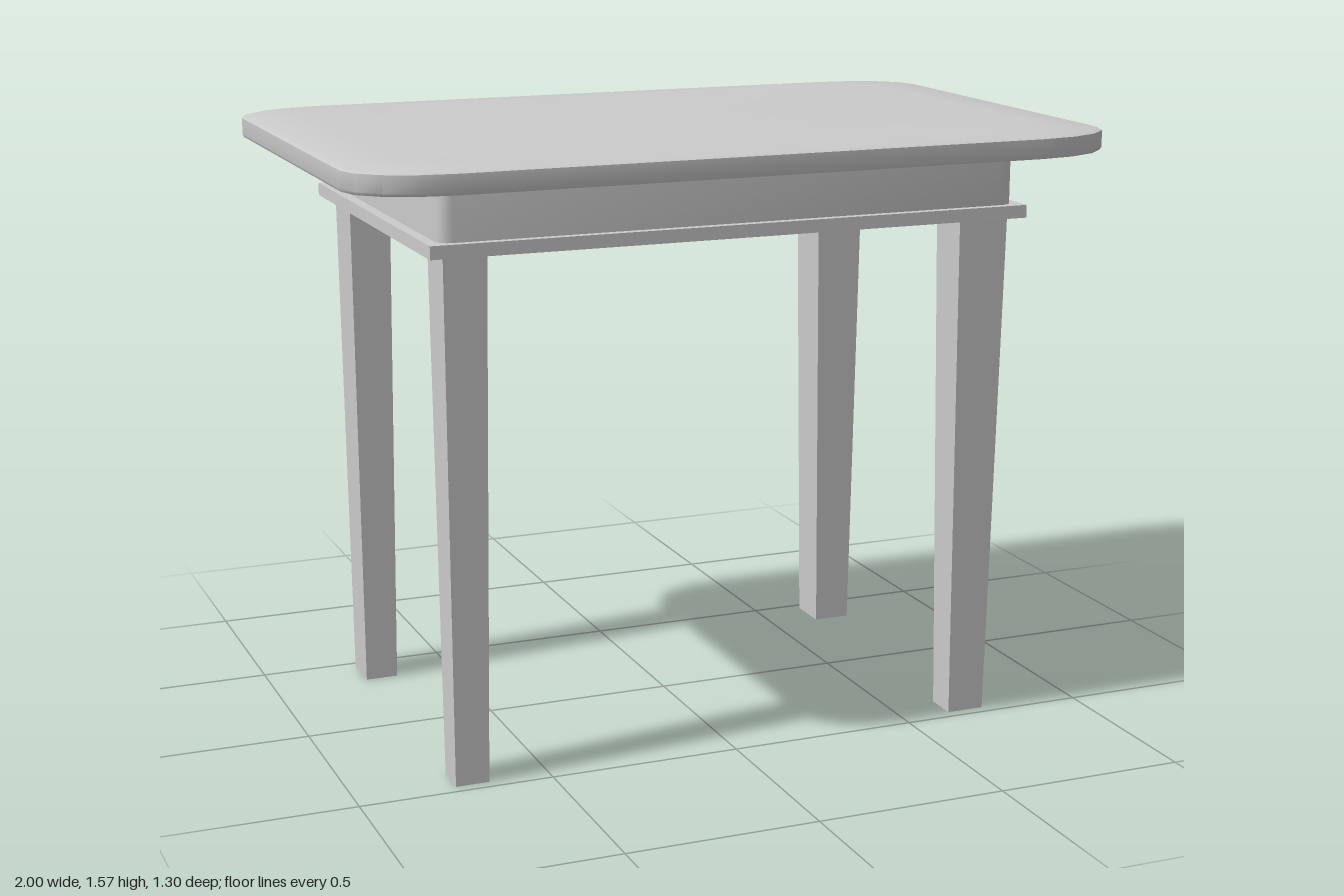
import * as THREE from 'three';
import { toCreasedNormals } from 'three/addons/utils/BufferGeometryUtils.js';

const material = new THREE.MeshStandardMaterial({ color: 0xcccccc });

function addMesh(group, name, geometry) {
  const mesh = new THREE.Mesh(geometry, material);
  mesh.name = name;
  group.add(mesh);
  return mesh;
}

// Rectangle with elliptical corners, as [x, z] points
function roundedOutline(halfX, halfZ, rx, rz, segments) {
  const points = [];
  for (let corner = 0; corner < 4; corner++) {
    const sx = corner === 0 || corner === 3 ? 1 : -1;
    const sz = corner < 2 ? 1 : -1;
    for (let i = 0; i <= segments; i++) {
      const a = (corner + i / segments) * Math.PI / 2;
      points.push([sx * (halfX - rx) + rx * Math.cos(a), sz * (halfZ - rz) + rz * Math.sin(a)]);
    }
  }
  return points;
}

// Stacks copies of an outline, each level being [y, scale], and caps both ends
function stackOutline(outline, levels) {
  const n = outline.length, positions = [], index = [];
  for (const [y, s] of levels) {
    for (const [x, z] of outline) positions.push(x * s, y, z * s);
  }
  for (let k = 0; k < levels.length - 1; k++) {
    for (let i = 0; i < n; i++) {
      const a = k * n + i, b = k * n + (i + 1) % n;
      index.push(a, a + n, b, b, a + n, b + n);
    }
  }
  const bottom = positions.length / 3;
  positions.push(0, levels[0][0], 0, 0, levels.at(-1)[0], 0);
  const last = (levels.length - 1) * n;
  for (let i = 0; i < n; i++) {
    const j = (i + 1) % n;
    index.push(bottom, i, j, bottom + 1, last + j, last + i);
  }
  const geometry = new THREE.BufferGeometry();
  geometry.setAttribute('position', new THREE.Float32BufferAttribute(positions, 3));
  geometry.setIndex(index);
  return toCreasedNormals(geometry, 0.6);
}

// Box whose bottom is narrowed to its own ranges; ranges are [min, max]
function taperedLeg(height, topX, topZ, bottomX, bottomZ) {
  const geometry = new THREE.BoxGeometry(1, 1, 1);
  const p = geometry.attributes.position;
  for (let i = 0; i < p.count; i++) {
    const up = p.getY(i) > 0;
    const xs = up ? topX : bottomX, zs = up ? topZ : bottomZ;
    p.setXYZ(i, xs[p.getX(i) > 0 ? 1 : 0], up ? height : 0, zs[p.getZ(i) > 0 ? 1 : 0]);
  }
  geometry.computeVertexNormals();
  return geometry;
}

export function createModel() {
  const group = new THREE.Group();
  group.name = 'table';

  // Table top with a very slightly domed surface
  addMesh(group, 'tableTop', stackOutline(
    roundedOutline(1, 0.648, 0.24, 0.15, 4),
    [[1.508, 0.996], [1.515, 1], [1.558, 1], [1.563, 0.985], [1.568, 0.86]]
  ));

  // Apron with softened corners
  addMesh(group, 'apron', stackOutline(
    roundedOutline(0.767, 0.496, 0.035, 0.035, 4),
    [[1.365, 1], [1.51, 1]]
  ));

  // Thin plate below the apron
  addMesh(group, 'basePlate', new THREE.BoxGeometry(1.586, 0.033, 1.034))
    .position.set(-0.002, 1.355, 0.001);

  // Legs: each side has its own thickness
  const sidesX = {
    Right: { top: [-0.756, -0.646], bottom: [-0.745, -0.658] },
    Left: { top: [0.615, 0.751], bottom: [0.634, 0.735] },
  };
  const sidesZ = {
    front: { top: [0.366, 0.49], bottom: [0.383, 0.47] },
    back: { top: [-0.488, -0.344], bottom: [-0.475, -0.357] },
  };
  for (const [endName, z] of Object.entries(sidesZ)) {
    for (const [sideName, x] of Object.entries(sidesX)) {
      addMesh(group, `${endName}${sideName}Leg`, taperedLeg(1.342, x.top, z.top, x.bottom, z.bottom));
    }
  }
  return group;
}
